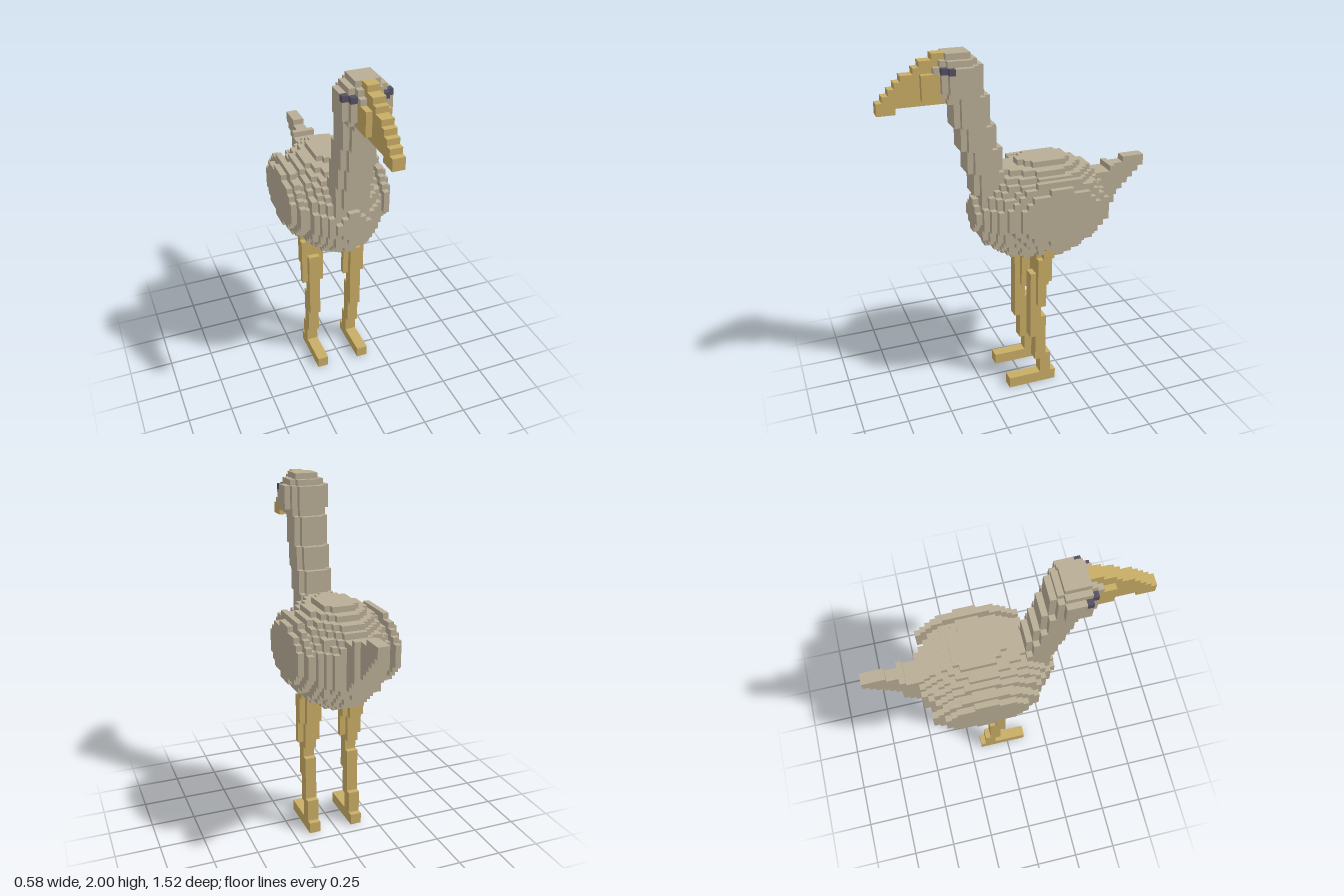
import * as THREE from 'three';

const V = 2 / 62; // voxel edge
const mats = {
  plumage: new THREE.MeshStandardMaterial({ color: 0xb9ad96 }),
  horn: new THREE.MeshStandardMaterial({ color: 0xc9ad66 }),
  eye: new THREE.MeshStandardMaterial({ color: 0x565062 }),
};
Object.entries(mats).forEach(([name, m]) => { m.name = name; });

const partColour = {
  body: 'plumage', wings: 'plumage', tail: 'plumage', neck: 'plumage', head: 'plumage',
  beak: 'horn', leftLeg: 'horn', rightLeg: 'horn', eyes: 'eye',
};

// Voxel grid: cell (i, j, k) spans i..i+1 in x, j..j+1 in y, k-0.5..k+0.5 in z
function makeGrid() {
  const cells = new Map();
  const key = (i, j, k) => `${i},${j},${k}`;
  const set = (part, i, j, k) => cells.set(key(i, j, k), { part, i, j, k });
  // fill every cell whose centre satisfies the test
  const fill = (part, test) => {
    for (let i = -9; i < 9; i++)
      for (let j = 0; j < 62; j++)
        for (let k = -23; k <= 23; k++)
          if (test(i + 0.5, j + 0.5, k)) set(part, i, j, k);
  };
  const box = (part, x0, x1, y0, y1, z0, z1) =>
    fill(part, (x, y, z) => x > x0 && x < x1 && y > y0 && y < y1 && z > z0 && z < z1);
  const has = (i, j, k) => cells.has(key(i, j, k));
  return { cells, set, fill, box, has };
}

// Six face directions, each with two edge axes (u x v = n)
const FACES = [
  [[1, 0, 0], [0, 1, 0], [0, 0, 1]], [[-1, 0, 0], [0, 0, 1], [0, 1, 0]],
  [[0, 1, 0], [0, 0, 1], [1, 0, 0]], [[0, -1, 0], [1, 0, 0], [0, 0, 1]],
  [[0, 0, 1], [1, 0, 0], [0, 1, 0]], [[0, 0, -1], [0, 1, 0], [1, 0, 0]],
];

// Mesh of all exposed faces of one part
function skin(grid, part) {
  const pos = [], nor = [], idx = [];
  for (const c of grid.cells.values()) {
    if (c.part !== part) continue;
    const centre = [c.i + 0.5, c.j + 0.5, c.k];
    for (const [n, u, v] of FACES) {
      if (grid.has(c.i + n[0], c.j + n[1], c.k + n[2])) continue;
      const b = pos.length / 3;
      for (const [s, t] of [[-1, -1], [1, -1], [1, 1], [-1, 1]]) {
        for (let a = 0; a < 3; a++) pos.push((centre[a] + (n[a] + s * u[a] + t * v[a]) / 2) * V);
        nor.push(...n);
      }
      idx.push(b, b + 1, b + 2, b, b + 2, b + 3);
    }
  }
  const g = new THREE.BufferGeometry();
  g.setAttribute('position', new THREE.Float32BufferAttribute(pos, 3));
  g.setAttribute('normal', new THREE.Float32BufferAttribute(nor, 3));
  g.setIndex(idx);
  const mesh = new THREE.Mesh(g, mats[partColour[part]]);
  mesh.name = part;
  return mesh;
}

const sq = (a) => a * a;

export function createModel() {
  const grid = makeGrid();
  const { fill, box, set } = grid;

  // Legs: [narrow or wide, y0, y1, z0, z1]
  const legSteps = [
    [1, 0, 2, -5.5, 3.5], [1, 2, 5, -4.5, -2.5], [1, 5, 6, -4.5, -1.5],
    [1, 6, 10, -3.5, -1.5], [1, 10, 14, -3.5, -0.5], [1, 14, 16, -2.5, -0.5],
    [1, 16, 21, -3.5, -0.5], [1, 21, 23, -4.5, -0.5], [1, 23, 29, -4.5, -1.5],
    [2, 17, 21, -2.5, -1.5], [2, 21, 26, -3.5, -1.5], [2, 26, 29, -4.5, -2.5],
  ];

  // Body: egg, longer toward the breast
  fill('body', (x, y, z) =>
    sq(x / 8.3) + sq((y - 34) / 9.2) + sq((z + 4.5) / (z > -4.5 ? 13.2 : 11)) <= 1);

  // Tail: wedge rising to the back
  fill('tail', (x, y, z) => {
    if (z > -13) return false;
    const top = z <= -20 ? 41 : z <= -17 ? 40 : 39;
    const low = Math.max(16 - z, 30);
    return Math.abs(x) < (z >= -17 ? 2 : 1) && y < top && y > low;
  });

  // Wings: flat discs on both flanks
  fill('wings', (x, y, z) =>
    sq((Math.abs(x) - 7.5) / 1.6) + sq((y - 35) / 6) + sq((z + 4.5) / 9) <= 1);

  // Neck: round column leaning forward
  fill('neck', (x, y, z) =>
    y > 36 && y < 56 && sq(x) + sq(z - Math.round(5 + (y - 40) * 0.24) - 0.5) <= sq(3.15));

  // Head
  fill('head', (x, y, z) => sq(x) + sq(y - 58) + sq(z - 10.5) <= sq(4.2));

  // Beak: thin stepped ridge with a hooked tip, thicker at the root
  const ridge = [62, 62, 61, 61, 60, 59, 59, 58, 57, 56, 55];
  ridge.forEach((top, n) => {
    const z = 13 + n;
    box('beak', -1, 1, z > 20 ? 53 : 54, top, z - 0.5, z + 0.5);
  });
  box('beak', -2, 2, 55, 59, 13.5, 16.5);

  // Eyes and legs, mirrored
  for (const s of [1, -1]) {
    const leg = s > 0 ? 'leftLeg' : 'rightLeg';
    for (const [w, y0, y1, z0, z1] of legSteps)
      fill(leg, (x, y, z) => Math.abs(x * s - 4) < w && y > y0 && y < y1 && z > z0 && z < z1);
    set('eyes', s > 0 ? 3 : -4, 59, 12);
    set('eyes', s > 0 ? 2 : -3, 59, 13);
  }

  const model = new THREE.Group();
  model.name = 'longLeggedBird';
  for (const part of Object.keys(partColour)) model.add(skin(grid, part));
  return model;
}
